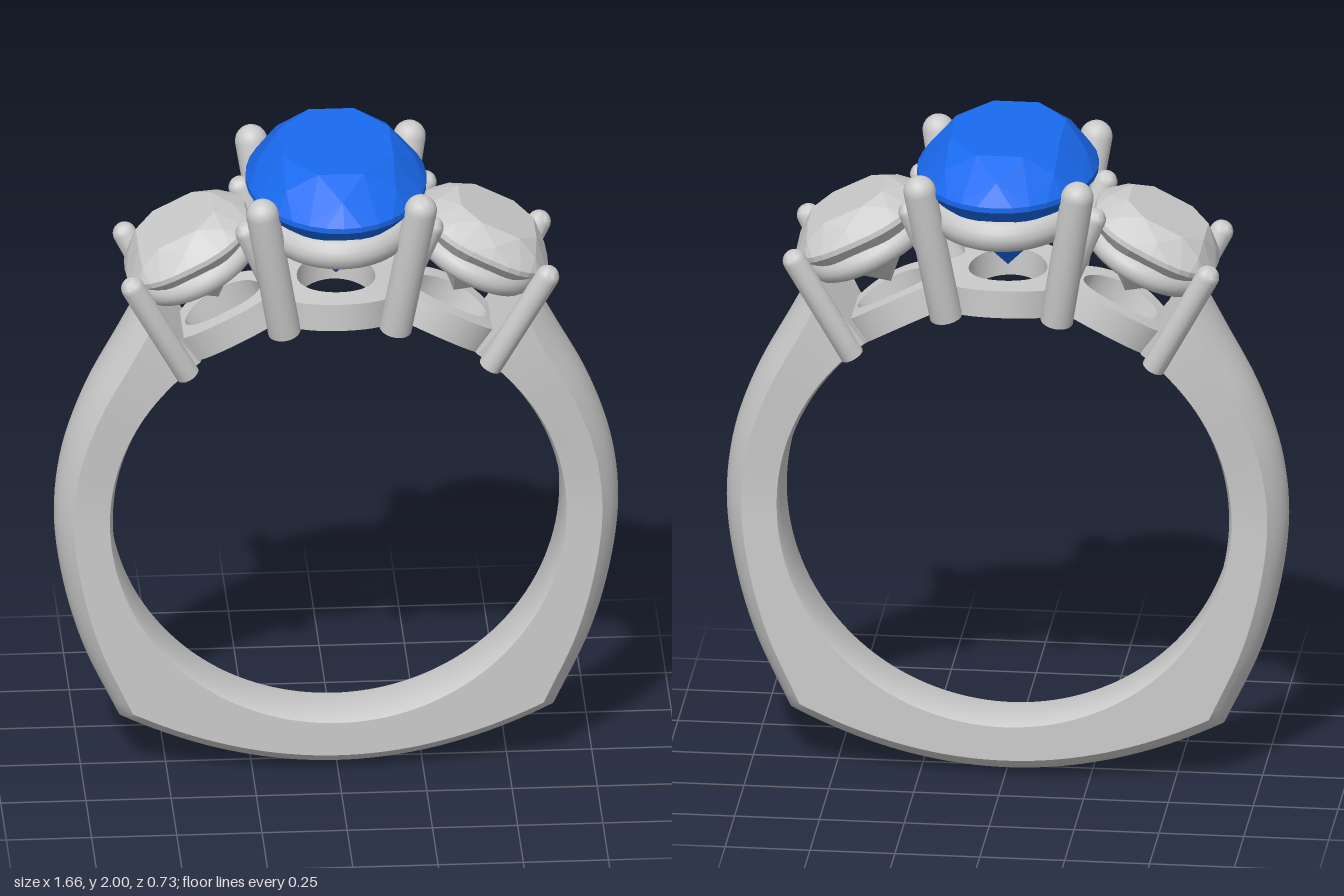
import * as THREE from 'three';
import { toCreasedNormals } from 'three/addons/utils/BufferGeometryUtils.js';
import { ConvexGeometry } from 'three/addons/geometries/ConvexGeometry.js';

const CY = 0.83, R = 0.66; // finger hole centre height and radius
const TILT = 0.471; // lean of the side heads
const metal = new THREE.MeshStandardMaterial({ color: 0xcccccc });
const sideGem = new THREE.MeshStandardMaterial({ color: 0xcccccc, flatShading: true });
const blueGem = new THREE.MeshStandardMaterial({ color: 0x1a6af0, flatShading: true });

function addMesh(parent, name, geometry, material = metal) {
  const mesh = new THREE.Mesh(geometry, material);
  mesh.name = name;
  parent.add(mesh);
  return mesh;
}

// Skin a series of equal-length cross-section loops
function skin(sections, closed, crease) {
  const n = sections[0].length, m = sections.length;
  const pos = sections.flat().flatMap((p) => [p.x, p.y, p.z]);
  const idx = [];
  for (let i = 0; i < (closed ? m : m - 1); i++) {
    for (let j = 0; j < n; j++) {
      const a = i * n + j, b = i * n + (j + 1) % n;
      const c = ((i + 1) % m) * n + j, d = ((i + 1) % m) * n + (j + 1) % n;
      idx.push(a, b, c, b, d, c);
    }
  }
  if (!closed) {
    const e = (m - 1) * n;
    for (let j = 1; j < n - 1; j++) idx.push(0, j + 1, j, e, e + j, e + j + 1);
  }
  const g = new THREE.BufferGeometry();
  g.setAttribute('position', new THREE.Float32BufferAttribute(pos, 3));
  g.setIndex(idx);
  return toCreasedNormals(g, crease);
}

// Band: flat sides, domed outside, wider towards the shoulders
function shankGeometry() {
  const left = new THREE.CatmullRomCurve3([
    [0.64, 0.17], [0.745, 0.4], [0.805, 0.62], [0.828, 0.83], [0.805, 1.03],
    [0.74, 1.22], [0.64, 1.41], [0.56, 1.56],
  ].map(([x, y]) => new THREE.Vector3(x, y, 0))).getPoints(40);
  const sole = new THREE.QuadraticBezierCurve3(
    new THREE.Vector3(0.64, 0.17, 0), new THREE.Vector3(0, -0.165, 0),
    new THREE.Vector3(-0.64, 0.17, 0)).getPoints(40);
  const right = left.map((p) => new THREE.Vector3(-p.x, p.y, 0));
  const path = [...left.reverse(), ...sole.slice(1, -1), ...right];
  const sections = path.map((p) => {
    const dir = new THREE.Vector3(p.x, p.y - CY, 0);
    const outer = dir.length();
    dir.normalize();
    const w = 0.103 + 0.037 * THREE.MathUtils.smoothstep(p.y, 0.8, 1.5);
    const at = (r, z) => new THREE.Vector3(dir.x * r, CY + dir.y * r, z);
    const loop = [at(R + 0.01, w), at(R, w * 0.75), at(R, -w * 0.75), at(R + 0.01, -w)];
    for (let k = -6; k <= 6; k++) {
      const u = k / 6;
      loop.push(at(outer - 0.053 * u * u, w * u));
    }
    return loop;
  });
  return skin(sections, false, 0.7);
}

// Oval gallery ring whose underside follows the finger hole (origin at hole centre)
function galleryGeometry(rx, rz, wall) {
  const sections = [];
  for (let i = 0; i < 64; i++) {
    const a = (i / 64) * Math.PI * 2;
    const at = (inset, h) => {
      const x = (rx - inset) * Math.cos(a);
      return new THREE.Vector3(x, Math.sqrt(R * R - x * x) + h, (rz - inset) * Math.sin(a));
    };
    sections.push([at(0, 0), at(0, 0.085), at(wall, 0.085), at(wall, 0)]);
  }
  return skin(sections, true, 0.5);
}

// Oval round-wire rail
function railGeometry(rx, rz, tube) {
  const sections = [];
  for (let i = 0; i < 64; i++) {
    const a = (i / 64) * Math.PI * 2;
    const n = new THREE.Vector3(Math.cos(a) / rx, 0, Math.sin(a) / rz).normalize();
    const loop = [];
    for (let k = 0; k < 14; k++) {
      const b = (k / 14) * Math.PI * 2;
      loop.push(new THREE.Vector3(rx * Math.cos(a) + n.x * tube * Math.cos(b),
        tube * Math.sin(b), rz * Math.sin(a) + n.z * tube * Math.cos(b)));
    }
    sections.push(loop);
  }
  return skin(sections, true, 1.2);
}

// Faceted stone; power below 1 squares the outline into a cushion
function gemGeometry(rx, rz, crown, pavilion, power) {
  const pts = [new THREE.Vector3(0, -pavilion, 0)];
  const ring = (count, scale, y, offset) => {
    for (let i = 0; i < count; i++) {
      const a = ((i + offset) / count) * Math.PI * 2;
      const c = Math.cos(a), s = Math.sin(a);
      pts.push(new THREE.Vector3(
        rx * scale * Math.sign(c) * Math.abs(c) ** power, y,
        rz * scale * Math.sign(s) * Math.abs(s) ** power));
    }
  };
  ring(8, 0.66, crown, 0.5);
  ring(8, 0.86, crown * 0.57, 0);
  ring(32, 1, 0.008, 0);
  ring(32, 1, -0.008, 0);
  ring(8, 0.62, -pavilion * 0.43, 0.5);
  return new ConvexGeometry(pts);
}

// Round prong with a domed tip
function addProng(parent, name, from, to, r) {
  const a = new THREE.Vector3(...from), dir = new THREE.Vector3(...to).sub(a);
  const len = dir.length();
  const profile = [new THREE.Vector2(0, 0), new THREE.Vector2(r, 0)];
  for (let k = 0; k <= 6; k++) {
    const t = (k / 6) * Math.PI / 2;
    profile.push(new THREE.Vector2(k === 6 ? 0 : r * Math.cos(t), len + r * Math.sin(t)));
  }
  const mesh = addMesh(parent, name, toCreasedNormals(new THREE.LatheGeometry(profile, 20), 0.6));
  mesh.position.copy(a);
  mesh.quaternion.setFromUnitVectors(new THREE.Vector3(0, 1, 0), dir.normalize());
}

export function createModel() {
  const ring = new THREE.Group();
  ring.name = 'threeStoneRing';
  addMesh(ring, 'shank', shankGeometry());

  // Centre head
  const centre = new THREE.Group();
  centre.name = 'centreHead';
  centre.position.y = CY;
  ring.add(centre);
  addMesh(centre, 'centreGallery', galleryGeometry(0.2, 0.22, 0.085));
  addMesh(centre, 'centreRail', railGeometry(0.195, 0.29, 0.05)).position.y = 0.948;
  addMesh(centre, 'centreStone', gemGeometry(0.265, 0.365, 0.118, 0.307, 1), blueGem).position.y = 1.052;
  for (const x of [-1, 1]) for (const z of [-1, 1]) {
    addProng(centre, 'centreProng', [0.163 * x, 0.642, 0.176 * z], [0.232 * x, 1.06, 0.252 * z], 0.048);
  }

  // Side heads, leaning outwards around the finger hole
  for (const s of [-1, 1]) {
    const head = new THREE.Group();
    head.name = s > 0 ? 'leftHead' : 'rightHead';
    head.position.y = CY;
    head.rotation.z = -s * TILT;
    ring.add(head);
    addMesh(head, 'sideGallery', galleryGeometry(0.178, 0.142, 0.055));
    addMesh(head, 'sideRail', railGeometry(0.155, 0.16, 0.038)).position.y = 0.895;
    addMesh(head, 'sideStone', gemGeometry(0.2, 0.206, 0.075, 0.207, 0.75), sideGem).position.y = 0.967;
    for (const z of [-1, 1]) {
      addProng(head, 'outerProng', [0.172 * s, 0.64, 0.135 * z], [0.178 * s, 0.99, 0.187 * z], 0.035);
      addProng(head, 'innerProng', [-0.165 * s, 0.645, 0.12 * z], [-0.193 * s, 0.975, 0.153 * z], 0.035);
    }
  }
  return ring;
}
